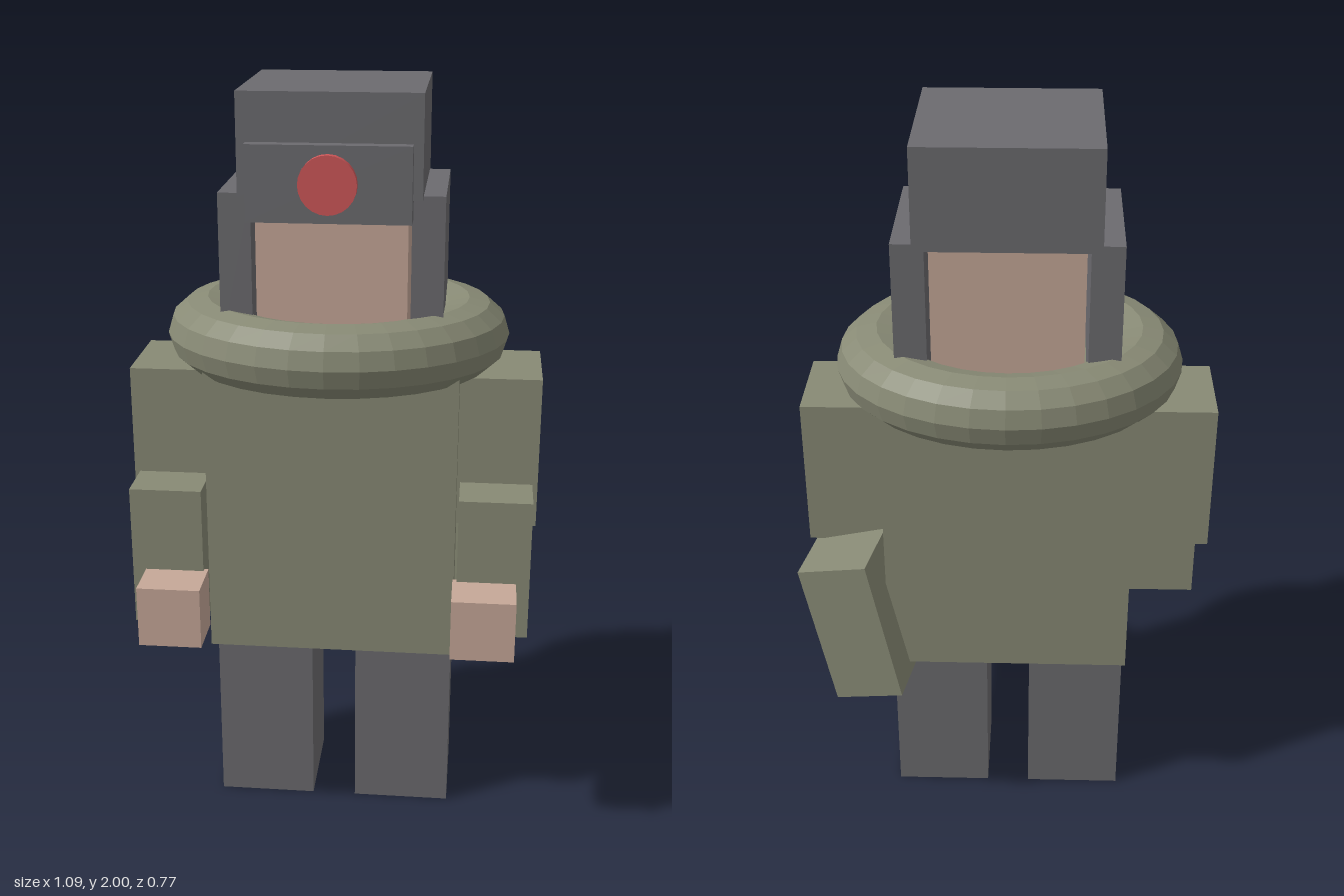
import * as THREE from 'three';

export function createModel() {
  const model = new THREE.Group();
  model.name = 'figure';

  const material = (name, color) => {
    const m = new THREE.MeshStandardMaterial({ color });
    m.name = name;
    return m;
  };
  const olive = material('olive', 0x888a75);
  const grey = material('grey', 0x6c6b6f);
  const skin = material('skin', 0xc6a898);
  const red = material('red', 0xce5759);

  const body = new THREE.Group();
  body.name = 'body';
  body.position.x = -0.008; // the bag makes the outline lopsided
  model.add(body);

  const add = (name, geometry, mat) => {
    const mesh = new THREE.Mesh(geometry, mat);
    mesh.name = name;
    body.add(mesh);
    return mesh;
  };
  // Box from its limits on each axis
  const box = (name, mat, [x0, x1], [y0, y1], [z0, z1]) => {
    const mesh = add(name, new THREE.BoxGeometry(x1 - x0, y1 - y0, z1 - z0), mat);
    mesh.position.set((x0 + x1) / 2, (y0 + y1) / 2, (z0 + z1) / 2);
    return mesh;
  };
  // Same box on both sides of the body
  const pair = (name, mat, [x0, x1], y, z) => {
    box('left' + name, mat, [x0, x1], y, z);
    box('right' + name, mat, [-x1, -x0], y, z);
  };

  // Torso, legs and arms
  box('torso', olive, [-0.328, 0.328], [0.515, 1.36], [-0.226, 0.226]);
  pair('Leg', grey, [0.06, 0.324], [0, 0.515], [-0.14, 0.14]);
  pair('UpperArm', olive, [0.328, 0.54], [0.862, 1.27], [-0.13, 0.13]);
  pair('Forearm', olive, [0.336, 0.526], [0.597, 0.98], [0.023, 0.263]);
  pair('Hand', skin, [0.325, 0.491], [0.587, 0.752], [0.25, 0.383]);

  // Head and headgear
  box('head', skin, [-0.191, 0.191], [1.34, 1.75], [-0.18, 0.18]);
  box('helmet', grey, [-0.227, 0.227], [1.745, 2], [-0.226, 0.226]);
  pair('EarFlap', grey, [0.2, 0.282], [1.36, 1.75], [-0.193, 0.193]);
  box('browBand', grey, [-0.203, 0.203], [1.692, 1.88], [0.17, 0.262]);
  const badge = add('badge', new THREE.CylinderGeometry(0.072, 0.072, 0.03, 24), red);
  badge.rotation.x = Math.PI / 2;
  badge.position.set(0, 1.788, 0.268);

  // Padded collar: a flattened oval ring
  const ring = new THREE.TorusGeometry(0.345, 0.107, 12, 32);
  ring.rotateX(Math.PI / 2).scale(1, 0.89, 0.855);
  const collarMaterial = olive;
  collarMaterial.flatShading = true;
  add('collar', ring, collarMaterial).position.y = 1.356;

  // Shoulder bag resting tilted on the left hip
  const bag = add('bag', new THREE.BoxGeometry(0.19, 0.42, 0.39), olive);
  bag.rotation.set(0, -0.178, -0.205, 'YXZ');
  bag.position.set(0.384, 0.671, -0.12);

  return model;
}
